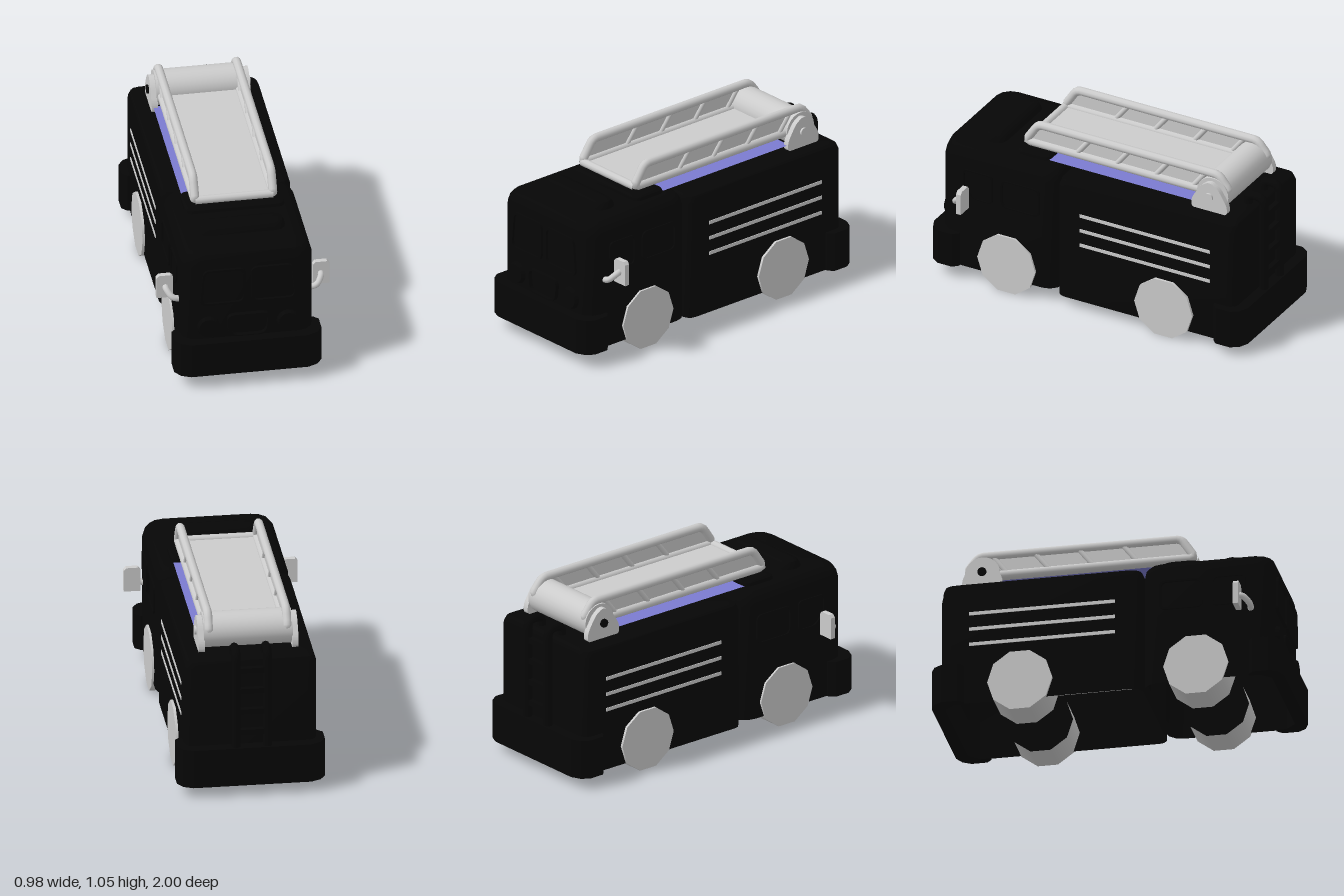
import * as THREE from 'three';
import { toCreasedNormals } from 'three/addons/utils/BufferGeometryUtils.js';

const V = (x, y, z) => new THREE.Vector3(x, y, z);
const black = new THREE.MeshStandardMaterial({ color: 0x060606, side: THREE.DoubleSide });
const grey = new THREE.MeshStandardMaterial({ color: 0xcccccc });
const violet = new THREE.MeshStandardMaterial({ color: 0x7b7bd0, side: THREE.DoubleSide });

// Shell, open below, of rounded-rectangle plan sections: [y, halfWidth, zBack, zFront, cornerRadius]
function shell(levels, seg = 3) {
  const rings = levels.map(([y, hx, z0, z1, r]) => {
    const ring = [];
    [[1, 1], [-1, 1], [-1, -1], [1, -1]].forEach(([sx, sz], q) => {
      for (let i = 0; i <= seg; i++) {
        const a = (q + i / seg) * Math.PI / 2;
        ring.push(V(sx * (hx - r) + r * Math.cos(a), y, (sz > 0 ? z1 - r : z0 + r) + r * Math.sin(a)));
      }
    });
    return ring;
  });
  const pts = [], n = rings[0].length, last = rings.length - 1;
  const [topY, , back, front] = levels[last];
  for (let i = 0; i < n; i++) {
    const j = (i + 1) % n;
    for (let k = 0; k < last; k++) {
      const a = rings[k], b = rings[k + 1];
      pts.push(a[i], b[i], a[j], a[j], b[i], b[j]);
    }
    pts.push(V(0, topY, (back + front) / 2), rings[last][j], rings[last][i]);
  }
  const geo = new THREE.BufferGeometry().setFromPoints(pts);
  geo.computeVertexNormals();
  return toCreasedNormals(geo, 0.65);
}

// Closed 2D outline with rounded corners
function outline(points, r, Kind = THREE.Shape) {
  const p = points.map(([x, y]) => new THREE.Vector2(x, y)), s = new Kind(), n = p.length;
  const toward = (a, b) => a.clone().add(b.clone().sub(a).setLength(Math.min(r, a.distanceTo(b) * 0.45)));
  p.forEach((c, i) => {
    const a = toward(c, p[(i + n - 1) % n]), b = toward(c, p[(i + 1) % n]);
    if (i) s.lineTo(a.x, a.y); else s.moveTo(a.x, a.y);
    s.quadraticCurveTo(c.x, c.y, b.x, b.y);
  });
  s.closePath();
  return s;
}

// Outline with a smaller copy of itself cut out
function frame(points, r, scale = 0.9) {
  const cx = points.reduce((t, p) => t + p[0], 0) / points.length;
  const cy = points.reduce((t, p) => t + p[1], 0) / points.length;
  const s = outline(points, r);
  s.holes.push(outline(points.map(([x, y]) => [cx + (x - cx) * scale, cy + (y - cy) * scale]), r * scale, THREE.Path));
  return s;
}

const extrude = (shape, depth) => new THREE.ExtrudeGeometry(shape, { depth, bevelEnabled: false, curveSegments: 6 });

// Shape drawn in (z, y), extruded across x and centred on x = cx
const across = (shape, width, cx) => extrude(shape, width).rotateY(-Math.PI / 2).translate(cx + width / 2, 0, 0);

// Tube along straight runs joined by rounded bends
function pipe(points, radius, bend, closed = false, segs = 60) {
  const path = new THREE.CurvePath(), n = points.length;
  const toward = (a, b) => a.clone().add(b.clone().sub(a).setLength(Math.min(bend, a.distanceTo(b) * 0.45)));
  let from = closed ? toward(points[0], points[n - 1]) : points[0];
  const start = from;
  for (let i = closed ? 0 : 1; i < (closed ? n : n - 1); i++) {
    const c = points[i], a = toward(c, points[(i + n - 1) % n]), b = toward(c, points[(i + 1) % n]);
    if (a.distanceTo(from) > 1e-4) path.add(new THREE.LineCurve3(from, a));
    path.add(new THREE.QuadraticBezierCurve3(a, c, b));
    from = b;
  }
  path.add(new THREE.LineCurve3(from, closed ? start : points[n - 1]));
  return new THREE.TubeGeometry(path, segs, radius, 10, false);
}

export function createModel() {
  const model = new THREE.Group();
  const add = (name, geo, mat = black) => {
    const m = new THREE.Mesh(geo, mat);
    m.name = name;
    model.add(m);
  };
  const box = (name, w, h, d, x, y, z, mat) => add(name, new THREE.BoxGeometry(w, h, d).translate(x, y, z), mat);
  const axleY = 0.176, wheelR = 0.185;

  // Cab and equipment body, hollow from below
  add('cab', shell([[0.085, 0.373, 0.2, 0.94, 0.09], [0.76, 0.372, 0.2, 0.94, 0.09], [0.8, 0.36, 0.205, 0.935, 0.09],
    [0.828, 0.338, 0.22, 0.925, 0.09], [0.845, 0.28, 0.25, 0.89, 0.08]]));
  add('equipmentBody', shell([[0.065, 0.37, -0.935, 0.2, 0.05], [0.765, 0.37, -0.935, 0.2, 0.05],
    [0.798, 0.358, -0.925, 0.19, 0.05], [0.815, 0.325, -0.9, 0.16, 0.05]]));

  // Chamfered bumper bands wrapped round the ends
  for (const [name, s, y0] of [['frontBumper', 1, 0.085], ['rearBumper', -1, 0.065]]) {
    const outer = [[0.385, 0.81], [0.415, 0.84], [0.415, 0.93], [0.385, 0.975], [0.33, 1]];
    const inner = [[0.31, 0.93], [0.365, 0.87], [0.365, 0.81]];
    const mirrored = (pts) => pts.slice().reverse().map(([x, z]) => [-x, z]);
    const pts = [...outer, ...mirrored(outer), ...mirrored(inner), ...inner];
    const shape = new THREE.Shape(pts.map(([x, z]) => new THREE.Vector2(x, -s * z)));
    add(name, extrude(shape, 0.293 - y0).rotateX(-Math.PI / 2).translate(0, y0, 0));
  }

  // Roof fittings
  add('lightBar', shell([[0.84, 0.25, 0.61, 0.755, 0.06], [0.865, 0.245, 0.617, 0.748, 0.06],
    [0.883, 0.235, 0.63, 0.735, 0.05], [0.892, 0.21, 0.655, 0.71, 0.025]]));
  add('ladderRest', shell([[0.84, 0.285, 0.295, 0.515, 0.04], [0.862, 0.28, 0.3, 0.51, 0.04], [0.874, 0.26, 0.32, 0.49, 0.03]]));
  add('roofPanel', new THREE.PlaneGeometry(0.54, 0.93).rotateX(-Math.PI / 2).translate(0, 0.848, -0.165), violet);

  // Grille
  add('grille', extrude(frame([[-0.11, 0.305], [0.11, 0.305], [0.125, 0.445], [-0.125, 0.445]], 0.05), 0.027).translate(0, 0, 0.938));

  for (const s of [1, -1]) {
    // Windscreens and headlights
    const screen = [[0.015, 0.515], [0.275, 0.515], [0.255, 0.74], [0.015, 0.74]].map(([x, y]) => [s * x, y]);
    add('windscreenFrame', extrude(frame(screen, 0.04), 0.017).translate(0, 0, 0.938));
    add('headlight', new THREE.CylinderGeometry(0.055, 0.066, 0.03, 16).rotateX(Math.PI / 2).translate(s * 0.225, 0.372, 0.95));

    // Side windows
    add('frontSideWindow', across(frame([[0.6, 0.53], [0.72, 0.53], [0.79, 0.6], [0.79, 0.71], [0.6, 0.71]], 0.03), 0.012, s * 0.376));
    add('rearSideWindow', across(frame([[0.3, 0.53], [0.55, 0.53], [0.55, 0.705], [0.3, 0.705]], 0.04), 0.012, s * 0.376));

    // Locker trim strips
    for (const y of [0.425, 0.518, 0.612]) box('trimStrip', 0.008, 0.02, 0.83, s * 0.37, y, -0.365, grey);

    // Wheels, open on the inner side
    for (const z of [0.51, -0.49]) {
      add('wheelTread', new THREE.CylinderGeometry(wheelR, wheelR, 0.2, 10, 1, true)
        .rotateZ(s * Math.PI / 2).translate(s * 0.285, axleY, z), grey);
      add('wheelFace', new THREE.CircleGeometry(wheelR, 10).rotateY(s * Math.PI / 2).translate(s * 0.385, axleY, z), grey);
    }

    // Mirrors
    const plate = new THREE.Shape([[0.394, 0.48], [0.488, 0.48], [0.488, 0.606], [0.474, 0.622], [0.408, 0.622], [0.394, 0.606]]
      .map(([x, y]) => new THREE.Vector2(s * x, y)));
    add('mirror', extrude(plate, 0.03).translate(0, 0, 0.742), grey);
    add('mirrorArm', pipe([V(s * 0.365, 0.495, 0.82), V(s * 0.41, 0.507, 0.825), V(s * 0.438, 0.545, 0.79), V(s * 0.438, 0.55, 0.765)],
      0.018, 0.03, false, 24), grey);

    // Ladder rail, side panel and diagonal struts
    const x = s * 0.22;
    add('ladderRail', pipe([V(x, 0.905, 0.475), V(x, 1.025, 0.395), V(x, 1.025, -0.755), V(x, 0.935, -0.825), V(x, 0.905, -0.72)],
      0.025, 0.03, true, 140), grey);
    add('ladderSidePanel', across(outline([[0.45, 0.905], [0.385, 1.02], [-0.74, 1.02], [-0.8, 0.93], [-0.7, 0.905]], 0.01), 0.008, x), grey);
    for (const z of [0.15, -0.1, -0.35, -0.59])
      add('ladderStrut', pipe([V(x, 0.91, z), V(x, 1.025, z - 0.09)], 0.016, 0, false, 1), grey);

    // Pivot bracket and pin
    add('pivotBracket', across(outline([[-0.612, 0.812], [-0.612, 0.87], [-0.67, 0.965], [-0.725, 1.0], [-0.78, 0.965],
      [-0.838, 0.87], [-0.838, 0.812]], 0.03), 0.035, s * 0.263), grey);
    add('pivotPin', new THREE.CylinderGeometry(0.025, 0.025, 0.03, 16).rotateZ(Math.PI / 2).translate(s * 0.277, 0.905, -0.725), s > 0 ? grey : black);

    // Rear climbing rails
    add('climbingRail', pipe([V(s * 0.088, 0.28, -0.967), V(s * 0.088, 0.868, -0.967), V(s * 0.088, 0.868, -0.868), V(s * 0.088, 0.8, -0.868)],
      0.025, 0.05, false, 60));
  }

  // Ladder floor, front bar and drum
  box('ladderFloor', 0.42, 0.02, 1.12, 0, 0.9, -0.1, grey);
  add('ladderFrontBar', pipe([V(-0.22, 0.905, 0.465), V(0.22, 0.905, 0.465)], 0.024, 0, false, 1), grey);
  add('ladderDrum', new THREE.CylinderGeometry(0.1, 0.1, 0.5, 24).rotateZ(Math.PI / 2).translate(0, 0.91, -0.73), grey);

  // Rear climbing rungs
  for (let i = 0; i < 4; i++) box('climbingRung', 0.17, 0.032, 0.03, 0, 0.38 + i * 0.125, -0.965, black);

  return model;
}
